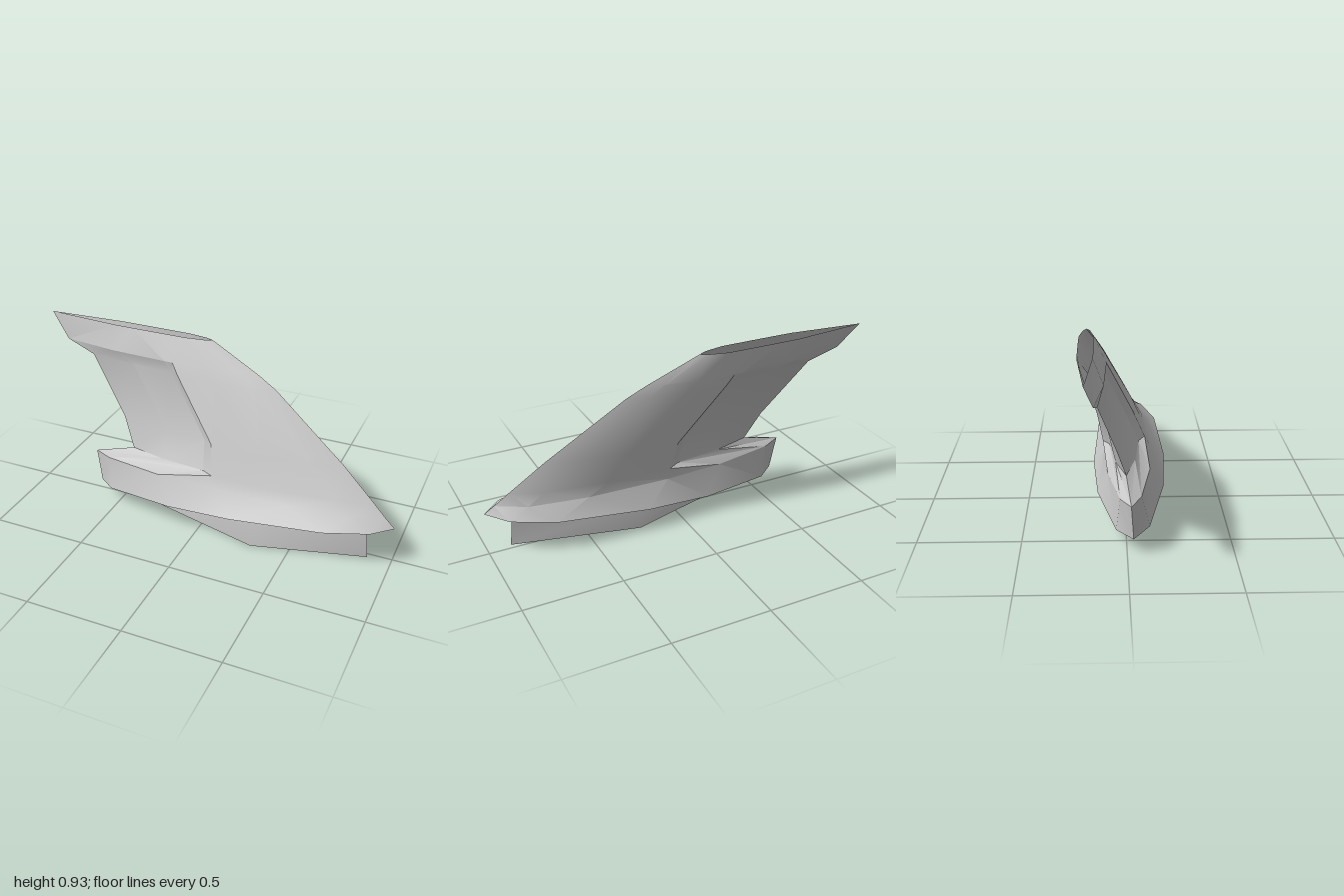
import * as THREE from 'three';
import { toCreasedNormals } from 'three/addons/utils/BufferGeometryUtils.js';

const collarHeight = (x) => 0.072 + (x + 0.27) * 0.08;
const rimHeight = (x) => 0.072 + (x + 0.63) * 0.085;

// Cross-sections from underside to tip. Columns run from leading to trailing edge:
// x position and half thickness h of each column.
const sections = [
  { y: collarHeight, x: [0.86, 0.86, 0.6, 0.3, 0, -0.27, -0.27], h: [0, 0, 0.06, 0.122, 0.062, 0, 0] }, // around the stub
  { y: rimHeight, x: [1, 0.9, 0.68, 0.2, -0.15, -0.53, -0.63], h: [0, 0.095, 0.163, 0.19, 0.168, 0.08, 0] }, // rim
  { y: () => 0.25, x: [0.95, 0.8, 0.5, 0.07, -0.24, -0.56, -0.66], h: [0, 0.07, 0.11, 0.12, 0.105, 0.05, 0] }, // pod edge
  { y: () => 0.31, x: [0.88, 0.72, 0.4, 0.06, 0, -0.25, -0.44], h: [0, 0.06, 0.098, 0.109, 0.075, 0.048, 0] }, // shelf
  { y: () => 0.46, x: [0.7, 0.55, 0.3, 0.03, -0.02, -0.25, -0.51], h: [0, 0.05, 0.085, 0.092, 0.058, 0.038, 0] },
  { y: () => 0.75, x: [0.305, 0.2, 0, -0.205, -0.25, -0.48, -0.73], h: [0, 0.03, 0.055, 0.065, 0.036, 0.024, 0] }, // panel top
  { y: () => 0.805, x: [0.205, 0.12, -0.05, -0.245, -0.29, -0.6, -0.89], h: [0, 0.025, 0.05, 0.058, 0.058, 0.045, 0] }, // lip
  { y: () => 0.931, x: [-0.06, -0.1, -0.2, -0.35, -0.5, -0.6, -1], h: [0, 0.018, 0.035, 0.036, 0.036, 0.035, 0] }, // open tip
];

function buildFin() {
  // The fin leans back with height, and every section tilts with the lean
  const point = (r, c, side) => {
    const { x, y, h } = sections[r];
    const height = y(x[c]);
    const centre = 0.03 - 0.3 * Math.max(0, height - 0.21);
    return new THREE.Vector3(x[c], height + 0.11 * side * h[c], centre + side * h[c]);
  };
  const positions = [];
  const triangle = (a, b, c) => {
    const area = b.clone().sub(a).cross(c.clone().sub(a)).length();
    if (area > 1e-7) for (const p of [a, b, c]) positions.push(p.x, p.y, p.z);
  };
  // Front and back skins, left hollow and open at the tip
  for (const side of [1, -1]) {
    for (let r = 0; r < sections.length - 1; r++) {
      for (let c = 0; c < 6; c++) {
        const a = point(r, c, side), b = point(r + 1, c, side);
        const d = point(r, c + 1, side), e = point(r + 1, c + 1, side);
        if (side > 0) { triangle(a, b, d); triangle(d, b, e); }
        else { triangle(a, d, b); triangle(d, e, b); }
      }
    }
  }
  const geometry = new THREE.BufferGeometry();
  geometry.setAttribute('position', new THREE.Float32BufferAttribute(positions, 3));
  return toCreasedNormals(geometry, 0.5);
}

// Diamond-shaped mounting stub, its sloping top tucked just inside the collar
function buildStub() {
  const geometry = new THREE.CylinderGeometry(1, 1, 1, 4);
  const p = geometry.attributes.position;
  for (let i = 0; i < p.count; i++) {
    const top = p.getY(i) > 0;
    const x = 0.305 + p.getX(i) * (top ? 0.56 : 0.575) + 0.07 * Math.min(0, p.getZ(i));
    p.setXYZ(i, x, top ? collarHeight(x) + 0.01 : 0, 0.028 + p.getZ(i) * (top ? 0.12 : 0.148));
  }
  return toCreasedNormals(geometry, 0.6);
}

export function createModel() {
  const grey = new THREE.MeshStandardMaterial({ color: 0xc6c6c6, side: THREE.DoubleSide });
  grey.name = 'light grey';
  const group = new THREE.Group();
  group.name = 'tailFin';
  for (const [name, geometry] of [['finBody', buildFin()], ['mountingStub', buildStub()]]) {
    const mesh = new THREE.Mesh(geometry, grey);
    mesh.name = name;
    group.add(mesh);
  }
  return group;
}
